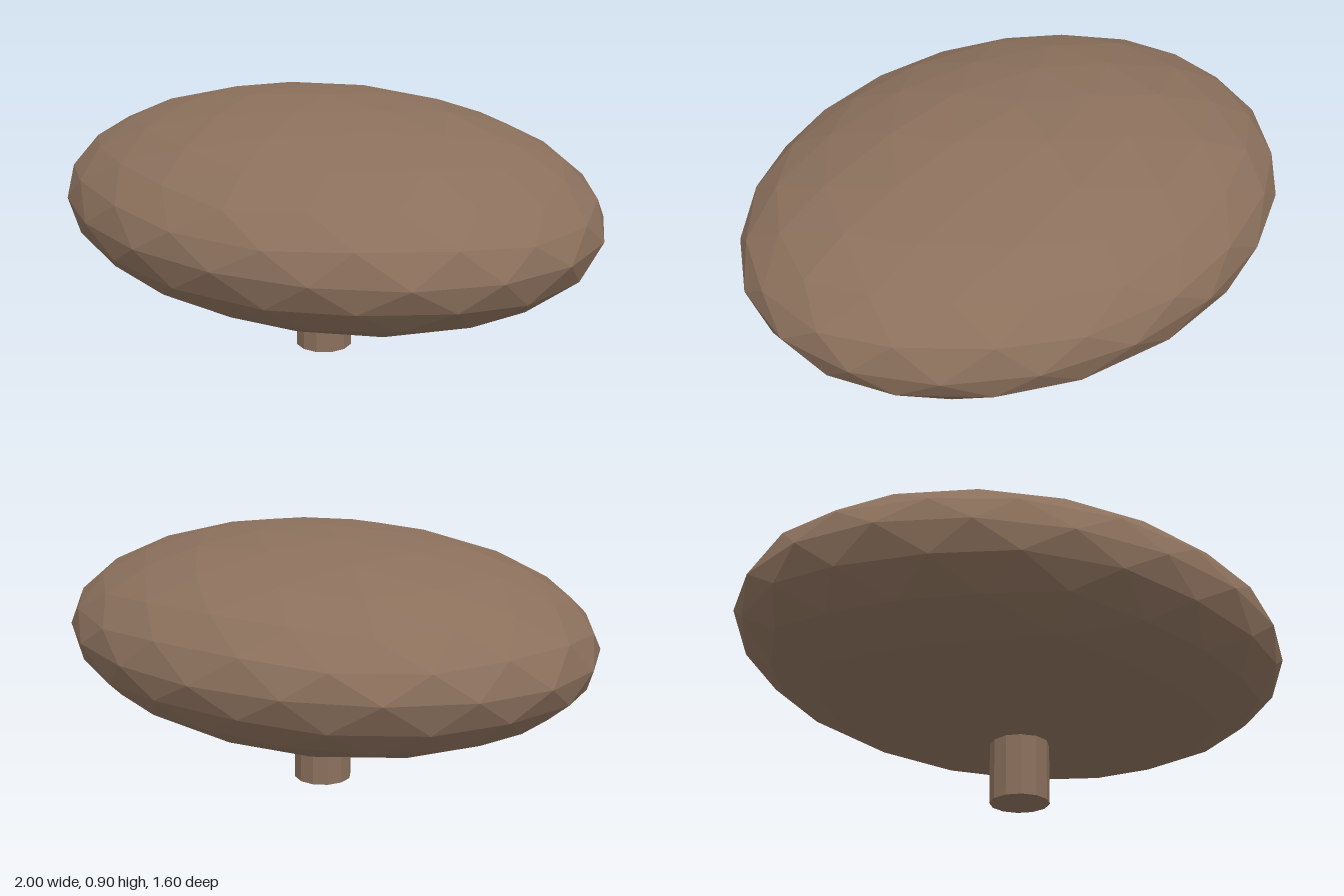
import * as THREE from 'three';

const material = new THREE.MeshStandardMaterial({ color: 0x8b705c, flatShading: true });

// Geodesic unit sphere with a vertex at each pole, each pass splits every face in four
function geodesicSphere(passes) {
  const ring = (y, offset) => Array.from({ length: 5 }, (_, i) => {
    const a = (i + offset) * Math.PI * 2 / 5;
    return new THREE.Vector3(Math.cos(a) * 2, y, Math.sin(a) * 2).normalize();
  });
  const north = new THREE.Vector3(0, 1, 0), south = new THREE.Vector3(0, -1, 0);
  const up = ring(1, 0), low = ring(-1, 0.5);
  let faces = [];
  for (let i = 0; i < 5; i++) {
    const j = (i + 1) % 5;
    faces.push([north, up[j], up[i]], [up[i], up[j], low[i]],
      [low[i], up[j], low[j]], [low[i], low[j], south]);
  }
  const mid = (a, b) => a.clone().add(b).normalize();
  for (let p = 0; p < passes; p++) {
    faces = faces.flatMap(([a, b, c]) => {
      const ab = mid(a, b), bc = mid(b, c), ca = mid(c, a);
      return [[a, ab, ca], [ab, b, bc], [ca, bc, c], [ab, bc, ca]];
    });
  }
  return new THREE.BufferGeometry().setFromPoints(faces.flat());
}

export function createModel() {
  const model = new THREE.Group();
  model.name = 'model';

  // Flattened oval body
  const bodyGeometry = geodesicSphere(2);
  bodyGeometry.scale(1, 0.35, 0.8);
  bodyGeometry.translate(0, 0.55, 0);
  bodyGeometry.computeVertexNormals();
  const body = new THREE.Mesh(bodyGeometry, material);
  body.name = 'body';
  model.add(body);

  // Short stem, sunk a little into the body
  const stem = new THREE.Mesh(new THREE.CylinderGeometry(0.1, 0.1, 0.3, 12), material);
  stem.name = 'stem';
  stem.position.y = 0.15;
  model.add(stem);

  return model;
}
